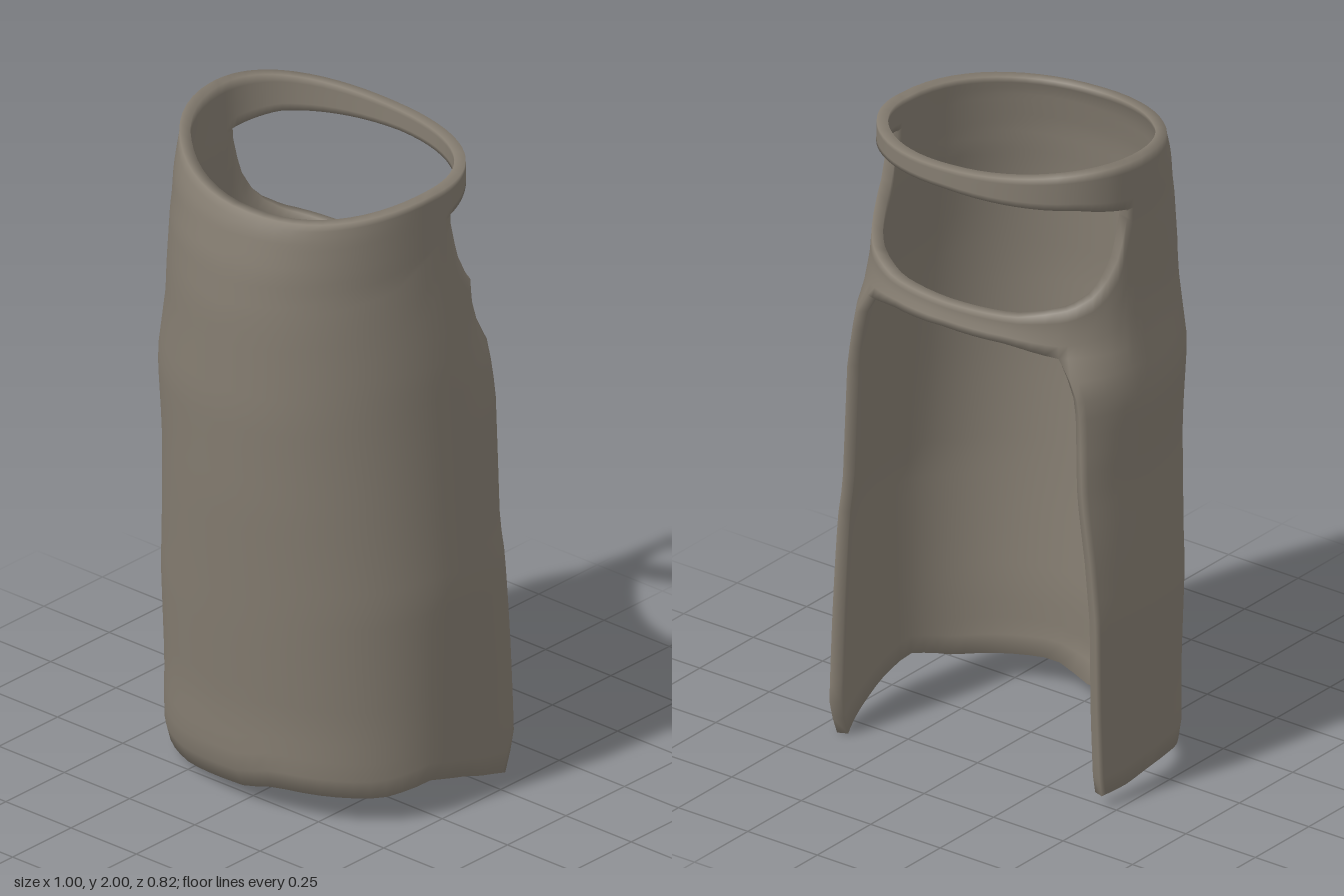
import * as THREE from 'three';

// Piecewise-linear lookup in a short list of [position, value] pairs
function lookup(pts, t) {
  if (t <= pts[0][0]) return pts[0][1];
  for (let i = 1; i < pts.length; i++) {
    const [a, va] = pts[i - 1], [b, vb] = pts[i];
    if (t <= b) return va + (vb - va) * (t - a) / (b - a);
  }
  return pts[pts.length - 1][1];
}

const THICKNESS = 0.032;
const GAP = 134;        // angle from the front where the rear opening starts
const GAP_TOP = 1.42;   // height of the rear opening at its corners
const WINDOW = 98;      // angle where the upper rear window starts
const CENTRE_Z = -0.08; // plane where the shell is widest
const BACK_POWER = 0.93;

// Front radius by height, shared by both halves
const frontR = [[0, 0.35], [0.04, 0.37], [0.11, 0.402], [0.3, 0.405], [0.6, 0.435], [1, 0.47], [1.3, 0.487],
  [1.6, 0.482], [1.75, 0.468], [1.87, 0.442], [1.92, 0.42], [1.96, 0.395]];

// Each half by height: side radius, back radius, front squareness, rear edge angle
const leftHalf = {
  side: [[0, 0.475], [0.3, 0.485], [0.7, 0.5], [1, 0.482], [1.4, 0.457], [1.7, 0.423], [1.94, 0.413]],
  back: [[0, 0.6], [0.1, 0.64], [0.4, 0.56], [0.8, 0.45], [1.2, 0.457], [1.35, 0.414], [1.42, 0.35], [1.5, 0.322], [1.95, 0.328]],
  power: [[0, 0.97], [1.3, 0.95], [1.7, 0.92], [1.95, 0.86]],
  edge: [[0, 114], [0.1, 116.7], [0.8, 123.7], [1.2, 124], [1.35, 127.4], [1.42, GAP]],
};
const rightHalf = {
  side: [[0, 0.478], [0.3, 0.485], [0.6, 0.5], [1, 0.485], [1.28, 0.5], [1.5, 0.46], [1.8, 0.45], [2, 0.46]],
  back: [[0, 0.62], [0.1, 0.64], [0.8, 0.6], [1.2, 0.46], [1.35, 0.46], [1.42, 0.345], [1.5, 0.322], [1.95, 0.328]],
  power: [[0, 0.8], [0.3, 0.85], [0.7, 0.95], [1.1, 1]],
  edge: [[0, 105.5], [0.1, 106.7], [0.8, 112], [1.2, 121], [1.35, 122.5], [1.42, GAP]],
};

// Height curves round the shell, by angle
const hem = [[-134, 0.04], [-110, 0.045], [-80, 0.068], [-60, 0.05], [-40, 0.035], [-25, 0.03], [0, 0.05], [15, 0.09],
  [56, 0.085], [78, 0.118], [92, 0.09], [106, 0.055], [134, 0]];
const barBase = [[GAP, GAP_TOP], [155, 1.45], [180, 1.455]];
const sill = [[0, 1.6], [70, 1.68], [90, 1.77], [98, 1.82], [101, 1.75], [104, 1.7], [110, 1.645], [117, 1.6],
  [128, 1.565], [153, 1.53], [180, 1.525]];
const lintel = [[0, 1.8], [98, 1.85], [125, 1.88], [180, 1.89]];
const rad = THREE.MathUtils.degToRad;
function rim(deg) {
  const p = rad(deg);
  return 1.9525 - 0.03 * Math.sin(p) - 0.018 * Math.cos(p) - 0.0165 * Math.cos(2 * p);
}

// Point on the shell; inset moves it towards the axis
function shellPoint(deg, y, inset) {
  const half = deg > 0 ? leftHalf : rightHalf;
  let p = Math.abs(deg);
  if (y < GAP_TOP && p > 90) p = 90 + (p - 90) * (lookup(half.edge, y) - 90) / (GAP - 90);
  const s = Math.max(Math.sin(rad(p)), 0), c = Math.cos(rad(p));
  const k = c < 0 ? BACK_POWER : lookup(half.power, y);
  const rx = lookup(half.side, y) - inset;
  const rz = lookup(c < 0 ? half.back : frontR, y) - inset;
  return [Math.sign(deg) * rx * Math.pow(s, k), y, CENTRE_Z + Math.sign(c) * rz * Math.pow(Math.abs(c), k)];
}

function shellGeometry() {
  // Column angles, denser around the window corners
  const half = [];
  for (const [a, b, n] of [[0, 90, 14], [90, WINDOW, 2], [WINDOW, 110, 4], [110, GAP, 6], [GAP, 180, 8]])
    for (let i = 0; i < n; i++) half.push(a + (b - a) * i / n);
  const angles = [-180, ...half.slice(1).reverse().map(a => -a), ...half];
  const cols = angles.length;

  // Rows in four bands: wall, crossbar, window and collar
  const rows = [];
  [24, 4, 6, 5].forEach((n, band) => {
    for (let i = 0; i < n; i++) rows.push([band, i / n]);
  });
  rows.push([3, 1]);

  const position = [], index = [];
  for (const inset of [0, THICKNESS])
    for (const [band, t] of rows)
      for (const a of angles) {
        const s = Math.abs(a);
        const level = [lookup(hem, a), lookup(barBase, s), lookup(sill, s), lookup(lintel, s), rim(a)];
        const y = level[band] + (level[band + 1] - level[band]) * t;
        position.push(...shellPoint(a, y, inset));
      }

  const layer = rows.length * cols;
  const id = (i, j) => j * cols + (i + cols) % cols;
  const solid = (i, j) => {
    if (j < 0 || j >= rows.length - 1) return false;
    i = (i + cols) % cols;
    const mid = Math.abs((angles[i] + (i + 1 < cols ? angles[i + 1] : 180)) / 2);
    const band = rows[j][0];
    return !(band === 0 && mid > GAP) && !(band === 2 && mid > WINDOW);
  };
  const quad = (a, b, c, d) => index.push(a, b, c, a, c, d);

  for (let j = 0; j < rows.length - 1; j++)
    for (let i = 0; i < cols; i++) {
      if (!solid(i, j)) continue;
      const q = [id(i, j), id(i + 1, j), id(i + 1, j + 1), id(i, j + 1)];
      quad(...q);
      quad(...q.map(v => v + layer).reverse());
      // Close the thickness along every free edge
      [[0, -1], [1, 0], [0, 1], [-1, 0]].forEach(([di, dj], e) => {
        if (solid(i + di, j + dj)) return;
        const a = q[e], b = q[(e + 1) % 4];
        quad(b, a, a + layer, b + layer);
      });
    }

  const g = new THREE.BufferGeometry();
  g.setAttribute('position', new THREE.Float32BufferAttribute(position, 3));
  g.setIndex(index);
  g.computeVertexNormals();
  return g;
}

export function createModel() {
  const group = new THREE.Group();
  group.name = 'openBackSleeve';
  const material = new THREE.MeshStandardMaterial({ color: 0x857d71 });
  material.name = 'warm grey';
  const shell = new THREE.Mesh(shellGeometry(), material);
  shell.name = 'sleeveShell';
  group.add(shell);
  return group;
}
